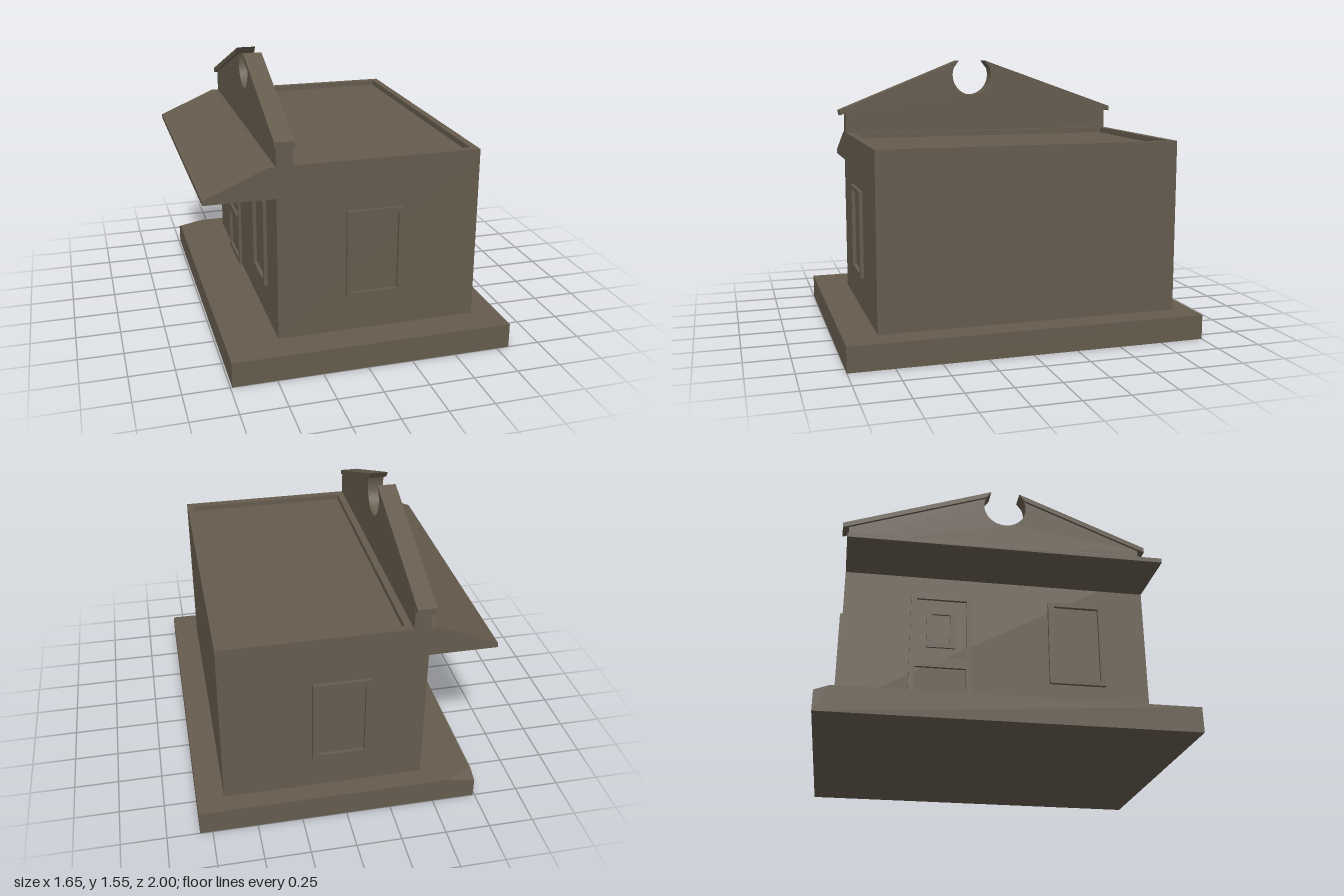
import * as THREE from 'three';
import { ConvexGeometry } from 'three/addons/geometries/ConvexGeometry.js';

export function createModel() {
  const model = new THREE.Group();
  model.name = 'house';
  const stone = new THREE.MeshStandardMaterial({ color: 0x665c4e });
  stone.name = 'brown stone';

  const add = (parent, name, geometry) => {
    const mesh = new THREE.Mesh(geometry, stone);
    mesh.name = name;
    parent.add(mesh);
    return mesh;
  };
  const polygon = pts => new THREE.Shape(pts.map(p => new THREE.Vector2(...p)));
  const rect = (x0, y0, x1, y1) => [[x0, y0], [x1, y0], [x1, y1], [x0, y1]];
  const extrude = (shape, depth) =>
    new THREE.ExtrudeGeometry(shape, { depth, bevelEnabled: false, curveSegments: 24 });
  const box = (x0, x1, y0, y1, z0, z1) =>
    new THREE.BoxGeometry(x1 - x0, y1 - y0, z1 - z0)
      .translate((x0 + x1) / 2, (y0 + y1) / 2, (z0 + z1) / 2);
  const frame = (outer, holes, depth) => {
    const shape = polygon(rect(...outer));
    holes.forEach(h => shape.holes.push(polygon(rect(...h))));
    return extrude(shape, depth);
  };

  // Base slab with one worn corner
  const base = [];
  for (const [x, z] of [[-0.74, -1], [0.82, -1], [0.82, 1], [-0.74, 1]]) {
    const worn = x < 0 && z < 0;
    base.push(new THREE.Vector3(x, 0, z), new THREE.Vector3(x, worn ? 0.11 : 0.14, z));
  }
  base.push(new THREE.Vector3(-0.58, 0.14, -1), new THREE.Vector3(-0.74, 0.14, -0.92));
  add(model, 'base', new ConvexGeometry(base));

  // Walls, with the flat roof sunk behind a parapet
  add(model, 'walls', box(-0.45, 0.67, 0.14, 1.08, -0.89, 0.815));
  const parapet = frame([-0.45, -0.815, 0.67, 0.89], [[-0.32, -0.77, 0.63, 0.85]], 0.032);
  add(model, 'parapet', parapet.rotateX(-Math.PI / 2).translate(0, 1.08, 0));

  // Awning over the door side
  const awning = polygon([[-0.83, 0.94], [-0.45, 0.94], [-0.45, 1.11], [-0.49, 1.11], [-0.83, 0.965]]);
  add(model, 'awning', extrude(awning, 1.705).translate(0, 0, -0.89));

  // Gable wall with a round notch, drawn in (z, y) and turned to face -x
  const gable = new THREE.Group();
  gable.name = 'gable';
  gable.rotation.y = -Math.PI / 2;
  gable.position.x = -0.36;
  model.add(gable);
  const wall = new THREE.Shape();
  wall.moveTo(-0.89, 1.11);
  wall.lineTo(0.815, 1.11);
  wall.lineTo(0.815, 1.234);
  wall.lineTo(0.13, 1.508);
  wall.absarc(0.015, 1.46, 0.125, 0.395, Math.PI - 0.41, true);
  wall.lineTo(-0.89, 1.232);
  add(gable, 'gableWall', extrude(wall, 0.09));

  // Sloping caps along both sides of the gable
  const caps = [
    [[0.85, 1.22], [0.85, 1.25], [0.1, 1.55], [0.13, 1.508]],
    [[-0.925, 1.22], [-0.0995, 1.51], [-0.07, 1.55], [-0.925, 1.25]],
  ];
  caps.forEach(pts => add(gable, 'gableCap', extrude(polygon(pts), 0.105)));

  // Windows and door are drawn flat, then turned onto their wall
  const face = (name, angle, x, z) => {
    const group = new THREE.Group();
    group.name = name;
    group.rotation.y = angle;
    group.position.set(x, 0, z);
    model.add(group);
    return group;
  };
  const addWindow = (group, x) =>
    add(group, 'windowFrame',
      frame([x, 0.34, x + 0.315, 0.835], [[x + 0.033, 0.365, x + 0.288, 0.81]], 0.02));

  addWindow(face('frontWindow', 0, 0, 0.815), -0.075);
  addWindow(face('backWindow', Math.PI, 0, -0.89), -0.175);
  const entrance = face('entrance', -Math.PI / 2, -0.45, 0);
  addWindow(entrance, 0.255);

  // Panelled door with a small glazed opening
  add(entrance, 'door', frame([-0.52, 0.14, -0.18, 0.83],
    [[-0.49, 0.17, -0.21, 0.39], [-0.49, 0.45, -0.21, 0.8]], 0.017));
  add(entrance, 'doorGlazing', frame([-0.43, 0.51, -0.27, 0.74],
    [[-0.4, 0.54, -0.3, 0.71]], 0.012));

  return model;
}
